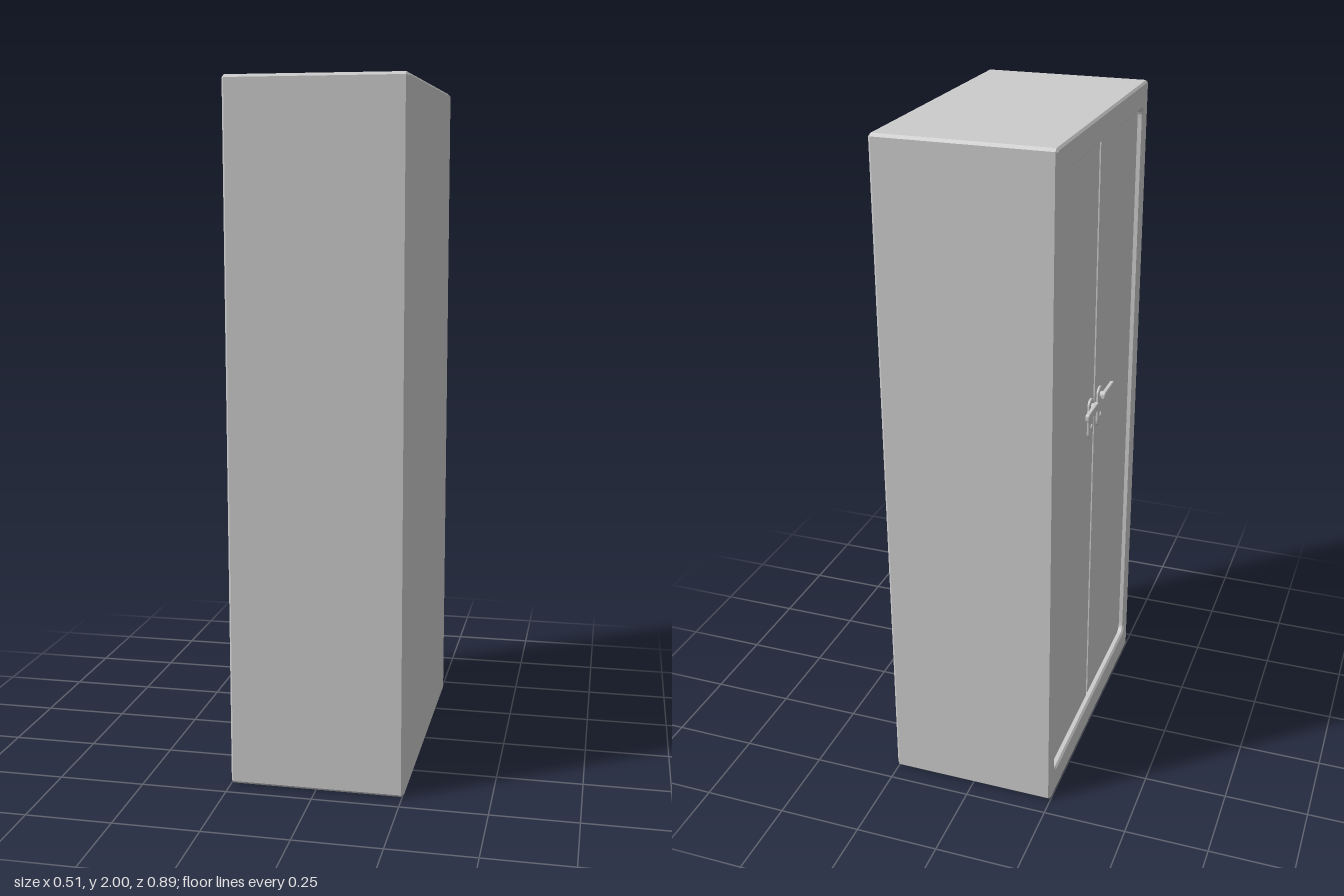
import * as THREE from 'three';

const material = new THREE.MeshStandardMaterial({ color: 0xcccccc });

// Rectangle outline whose corners (bl, br, tr, tl) are cut or rounded by the given radii
function outline(Type, x0, x1, y0, y1, [bl, br, tr, tl], round = true) {
  const s = new Type();
  const corner = (cx, cy, x, y) => (round ? s.quadraticCurveTo(cx, cy, x, y) : s.lineTo(x, y));
  s.moveTo(x0 + bl, y0);
  s.lineTo(x1 - br, y0);
  if (br) corner(x1, y0, x1, y0 + br);
  s.lineTo(x1, y1 - tr);
  if (tr) corner(x1, y1, x1 - tr, y1);
  s.lineTo(x0 + tl, y1);
  if (tl) corner(x0, y1, x0, y1 - tl);
  s.lineTo(x0, y0 + bl);
  if (bl) corner(x0, y0, x0 + bl, y0);
  return s;
}

// Slab from z0 to z1 with chamfered rims that stay inside the outline
function slab(name, shape, z0, z1, bevel) {
  const geometry = new THREE.ExtrudeGeometry(shape, {
    depth: z1 - z0 - 2 * bevel, curveSegments: 6,
    bevelEnabled: bevel > 0, bevelSegments: 1,
    bevelSize: bevel, bevelThickness: bevel, bevelOffset: -bevel,
  });
  geometry.translate(0, 0, z0 + bevel);
  const mesh = new THREE.Mesh(geometry, material);
  mesh.name = name;
  return mesh;
}

// Backplate, pivot and lever of one door; side is the direction the lever points
function makeHandle(side) {
  const handle = new THREE.Group();
  handle.name = side > 0 ? 'leftHandle' : 'rightHandle';
  const c = side * 0.047, r = 0.023;
  handle.add(slab('handlePlate',
    outline(THREE.Shape, c - r, c + r, 1.045, 1.17, [r, r, r, r]), 0.23, 0.239, 0.002));

  const pivot = new THREE.Mesh(new THREE.CylinderGeometry(0.011, 0.011, 0.024, 16), material);
  pivot.name = 'handlePivot';
  pivot.rotation.x = Math.PI / 2;
  pivot.position.set(c, 1.145, 0.24);
  handle.add(pivot);

  const ends = [side * 0.03, side * 0.135].sort((a, b) => a - b);
  handle.add(slab('handleLever',
    outline(THREE.Shape, ends[0], ends[1], 1.133, 1.157, [0.009, 0.009, 0.009, 0.009]), 0.245, 0.257, 0.002));

  const lock = new THREE.Mesh(new THREE.CylinderGeometry(0.008, 0.008, 0.006, 16), material);
  lock.name = 'lockCylinder';
  lock.rotation.x = Math.PI / 2;
  lock.position.set(c, 1.08, 0.239);
  handle.add(lock);
  return handle;
}

export function createModel() {
  const model = new THREE.Group();
  model.name = 'cabinet';
  // Built with the doors towards local +z, then turned so they face -x
  const cabinet = new THREE.Group();
  cabinet.name = 'cabinetAssembly';
  cabinet.rotation.y = -Math.PI / 2;
  model.add(cabinet);

  const b = 0.008, W = 0.444;
  const shell = () => outline(THREE.Shape, -W, W, 0, 2, [b, b, b, b], false);

  // Main box
  cabinet.add(slab('body', shell(), -0.255, 0.222, b));

  // Door frame with rounded opening
  const frameShape = shell();
  frameShape.holes.push(outline(THREE.Path, -0.402, 0.402, 0.08, 1.925, [0.03, 0.03, 0.03, 0.03]));
  cabinet.add(slab('doorFrame', frameShape, 0.19, 0.25, 0.006));

  // Recessed doors with a narrow gap between them, and their handles
  for (const side of [-1, 1]) {
    const inner = 0.007, outer = 0.4, r = 0.03;
    const shape = side > 0
      ? outline(THREE.Shape, inner, outer, 0.082, 1.923, [0, r, r, 0])
      : outline(THREE.Shape, -outer, -inner, 0.082, 1.923, [r, 0, 0, r]);
    cabinet.add(slab(side > 0 ? 'leftDoor' : 'rightDoor', shape, 0.21, 0.232, 0));
    cabinet.add(makeHandle(side));
  }
  return model;
}
